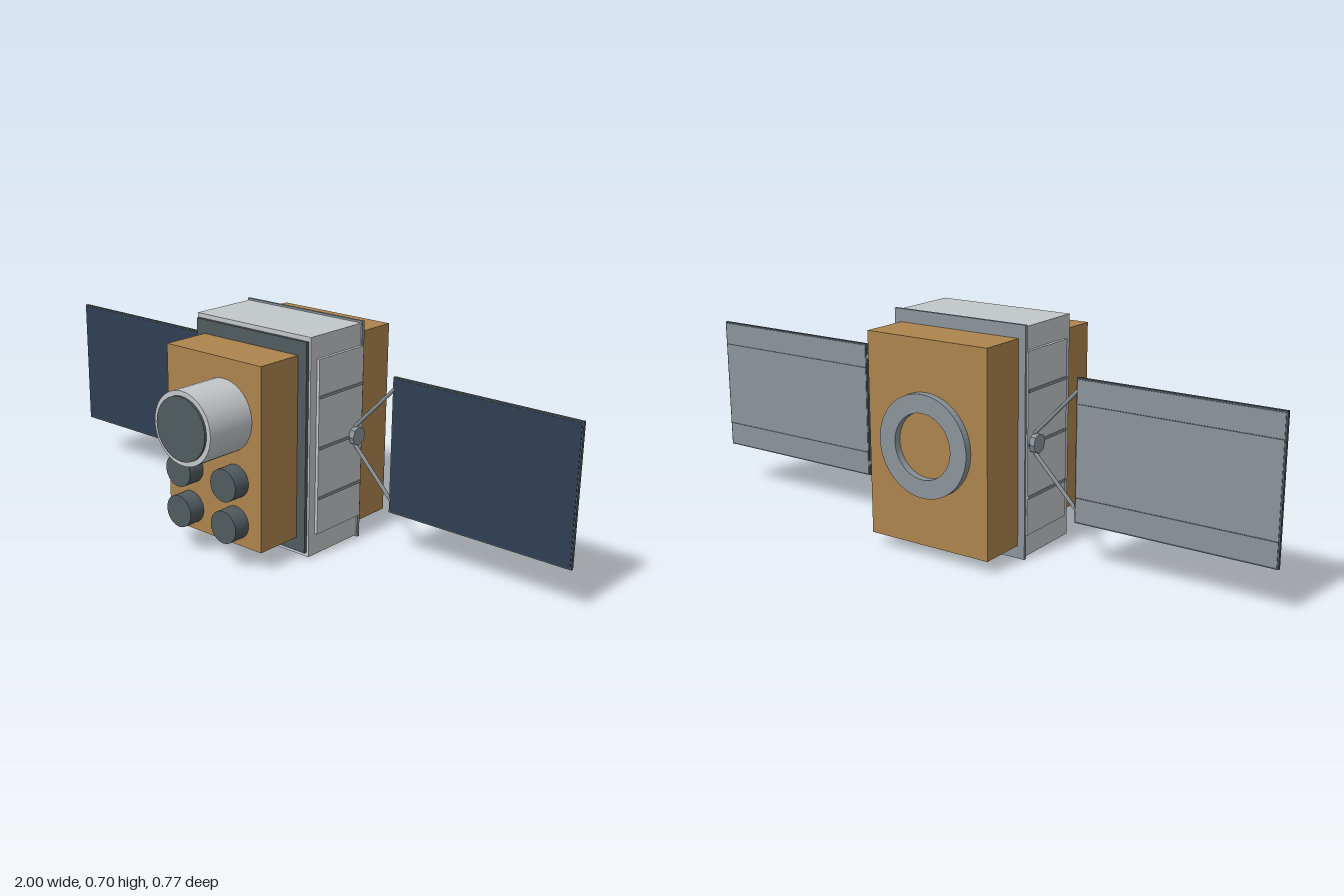
import * as THREE from 'three';

const mat = (name, color) => Object.assign(new THREE.MeshStandardMaterial({ color }), { name });

export function createModel() {
  const silver = mat('silver', 0xc2c7ca);
  const gold = mat('gold foil', 0xac844d);
  const dark = mat('dark grey', 0x505a5e);
  const steel = mat('steel grey', 0x8b949b);
  const navy = mat('solar navy', 0x2f3e54);
  const model = new THREE.Group();
  model.name = 'satellite';
  const midY = 0.35;

  const add = (parent, name, geometry, material) => {
    const mesh = new THREE.Mesh(geometry, material);
    mesh.name = name;
    parent.add(mesh);
    return mesh;
  };
  // Box given by its limits on each axis
  const box = (parent, name, material, [x0, x1], [y0, y1], [z0, z1]) =>
    add(parent, name, new THREE.BoxGeometry(x1 - x0, y1 - y0, z1 - z0), material)
      .position.set((x0 + x1) / 2, (y0 + y1) / 2, (z0 + z1) / 2);
  // Cylinder along z
  const barrel = (name, material, x, y, r, z0, z1) => {
    const m = add(model, name, new THREE.CylinderGeometry(r, r, z1 - z0, 40), material);
    m.rotation.x = Math.PI / 2;
    m.position.set(x, y, (z0 + z1) / 2);
  };

  // Central body with its front plate, back flange and foil modules
  box(model, 'body', silver, [-0.229, 0.229], [0.006, 0.694], [-0.197, 0.036]);
  box(model, 'backFlange', steel, [-0.234, 0.234], [0, 0.7], [-0.207, -0.197]);
  box(model, 'frontPlate', dark, [-0.222, 0.222], [0.02, 0.68], [0.036, 0.047]);
  box(model, 'frontModule', gold, [-0.19, 0.19], [0.064, 0.636], [0.047, 0.207]);
  box(model, 'backModule', gold, [-0.211, 0.211], [0.04, 0.66], [-0.361, -0.207]);

  // Telescope and four small lenses
  barrel('telescope', silver, 0.043, 0.461, 0.112, 0.207, 0.377);
  barrel('telescopeLens', dark, 0.043, 0.461, 0.097, 0.37, 0.384);
  for (const x of [-0.096, 0.09])
    for (const y of [0.136, 0.268]) barrel('smallLens', dark, x, y, 0.051, 0.207, 0.263);

  // Docking ring on the back
  const ringShape = new THREE.Shape().absarc(0, 0, 0.155, 0, Math.PI * 2);
  ringShape.holes.push(new THREE.Path().absarc(0, 0, 0.099, 0, Math.PI * 2, true));
  const ringGeo = new THREE.ExtrudeGeometry(ringShape, { depth: 0.023, bevelEnabled: false, curveSegments: 32 });
  add(model, 'dockingRing', ringGeo, steel).position.set(0, midY, -0.384);

  // Side panel, ribs, hub, struts and solar wing on each side
  const wingZ = -0.165;
  for (const s of [1, -1]) {
    const side = new THREE.Group();
    side.name = s > 0 ? 'leftWing' : 'rightWing';
    model.add(side);
    const span = (a, b) => (s > 0 ? [a, b] : [-b, -a]);

    box(side, 'sidePanel', silver, span(0.225, 0.239), [0.075, 0.625], [-0.2, 0.008]);
    for (const y of [0.191, midY, 0.509])
      box(side, 'rib', steel, span(0.235, 0.243), [y - 0.004, y + 0.004], [-0.198, 0.005]);

    const hub = add(side, 'hub', new THREE.CylinderGeometry(0.03, 0.03, 0.022, 8).toNonIndexed(), steel);
    hub.geometry.computeVertexNormals();
    hub.rotation.z = Math.PI / 2;
    hub.position.set(s * 0.246, midY, wingZ);

    for (const v of [1, -1]) {
      const path = new THREE.LineCurve3(
        new THREE.Vector3(s * 0.237, midY + v * 0.025, wingZ),
        new THREE.Vector3(s * 0.384, midY + v * 0.177, wingZ));
      add(side, 'strut', new THREE.TubeGeometry(path, 1, 0.006, 8), steel);
    }

    box(side, 'wingFrame', dark, span(0.381, 1), [0.136, 0.564], [wingZ - 0.005, wingZ + 0.005]);
    box(side, 'solarCells', navy, span(0.385, 0.996), [0.14, 0.56], [wingZ + 0.004, wingZ + 0.0065]);
    box(side, 'wingBack', steel, span(0.386, 0.995), [0.141, 0.559], [wingZ - 0.0065, wingZ - 0.004]);
    for (const y of [0.212, 0.488])
      box(side, 'wingSeam', dark, span(0.386, 0.995), [y - 0.0015, y + 0.0015], [wingZ - 0.0075, wingZ - 0.006]);
  }
  return model;
}
